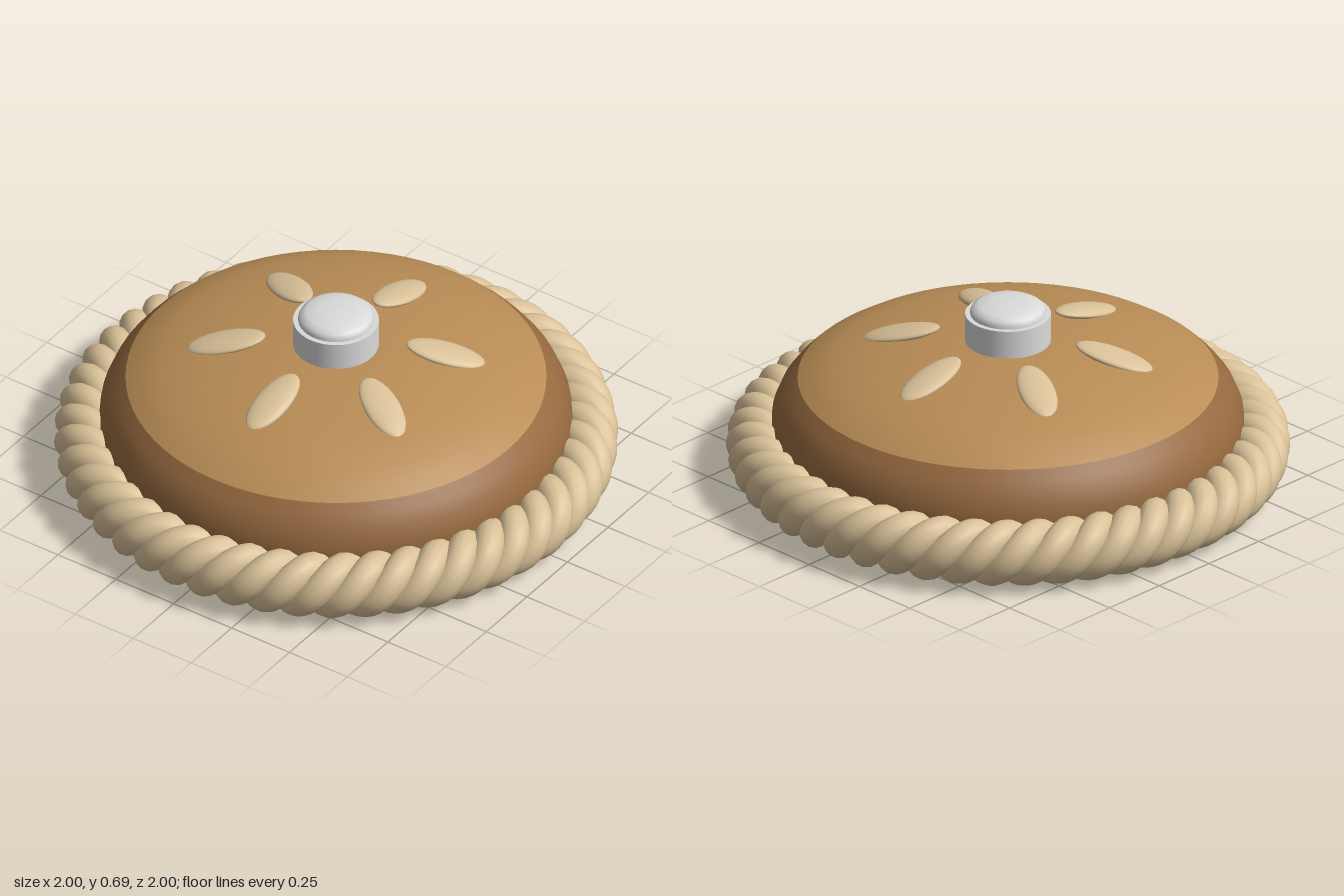
import * as THREE from 'three';

const mat = (name, color) => {
  const m = new THREE.MeshStandardMaterial({ color });
  m.name = name;
  return m;
};

// One strand of a rope that winds around a closed ring
class StrandCurve extends THREE.Curve {
  constructor(ringRadius, height, offset, turns, phase) {
    super();
    Object.assign(this, { ringRadius, height, offset, turns, phase });
    this.arcLengthDivisions = 2000;
  }
  getPoint(t, target = new THREE.Vector3()) {
    const a = t * Math.PI * 2;
    const twist = a * this.turns + this.phase;
    const r = this.ringRadius + this.offset * Math.cos(twist);
    return target.set(Math.sin(a) * r, this.height + this.offset * Math.sin(twist), Math.cos(a) * r);
  }
}

const lathe = (points, segments = 72) =>
  new THREE.LatheGeometry(points.map(([x, y]) => new THREE.Vector2(x, y)), segments);

export function createModel() {
  const crust = mat('pale crust', 0xd9c198);
  const brown = mat('baked brown', 0x96693f);
  const golden = mat('golden brown', 0xb88c55);
  const silver = mat('light grey', 0xdadada);

  const model = new THREE.Group();
  model.name = 'pie';
  const add = (name, geometry, material, parent = model) => {
    const mesh = new THREE.Mesh(geometry, material);
    mesh.name = name;
    parent.add(mesh);
    return mesh;
  };

  // Pie body: flat underside, rounded edge and sloping wall
  add('body', lathe([
    [0, 0], [0.68, 0.002], [0.75, 0.015], [0.8, 0.05], [0.83, 0.12],
    [0.84, 0.2], [0.833, 0.26], [0.81, 0.315], [0.78, 0.355], [0.745, 0.39],
  ]), brown);

  // Domed top crust
  add('topCrust', lathe([
    [0.745, 0.39], [0.69, 0.425], [0.62, 0.457], [0.52, 0.487],
    [0.4, 0.511], [0.28, 0.528], [0.14, 0.538], [0, 0.541],
  ]), golden);

  // Twisted rope rim of three strands
  const rim = new THREE.Group();
  rim.name = 'ropeRim';
  model.add(rim);
  for (let i = 0; i < 3; i++) {
    const curve = new StrandCurve(0.88, 0.13, 0.063, 16, (i * Math.PI * 2) / 3);
    add('rimStrand', new THREE.TubeGeometry(curve, 400, 0.056, 14, true), crust, rim);
  }

  // Six flat petals lying on the dome, leaning outwards
  const petalGeometry = new THREE.SphereGeometry(1, 24, 14);
  petalGeometry.scale(0.145, 0.022, 0.066);
  petalGeometry.rotateZ(-0.25);
  petalGeometry.translate(0.39, 0.517, 0);
  for (let i = 0; i < 6; i++) {
    add('petal', petalGeometry, crust).rotation.y = (i * Math.PI) / 3;
  }

  // Centre button: collar and rounded cap
  const button = new THREE.Group();
  button.name = 'button';
  model.add(button);
  add('buttonCollar', new THREE.CylinderGeometry(0.152, 0.152, 0.125, 48).translate(0, 0.58, 0), silver, button);
  add('buttonCap', lathe([
    [0.134, 0.63], [0.134, 0.652], [0.126, 0.667], [0.105, 0.679], [0.06, 0.687], [0, 0.689],
  ], 48), silver, button);

  return model;
}
